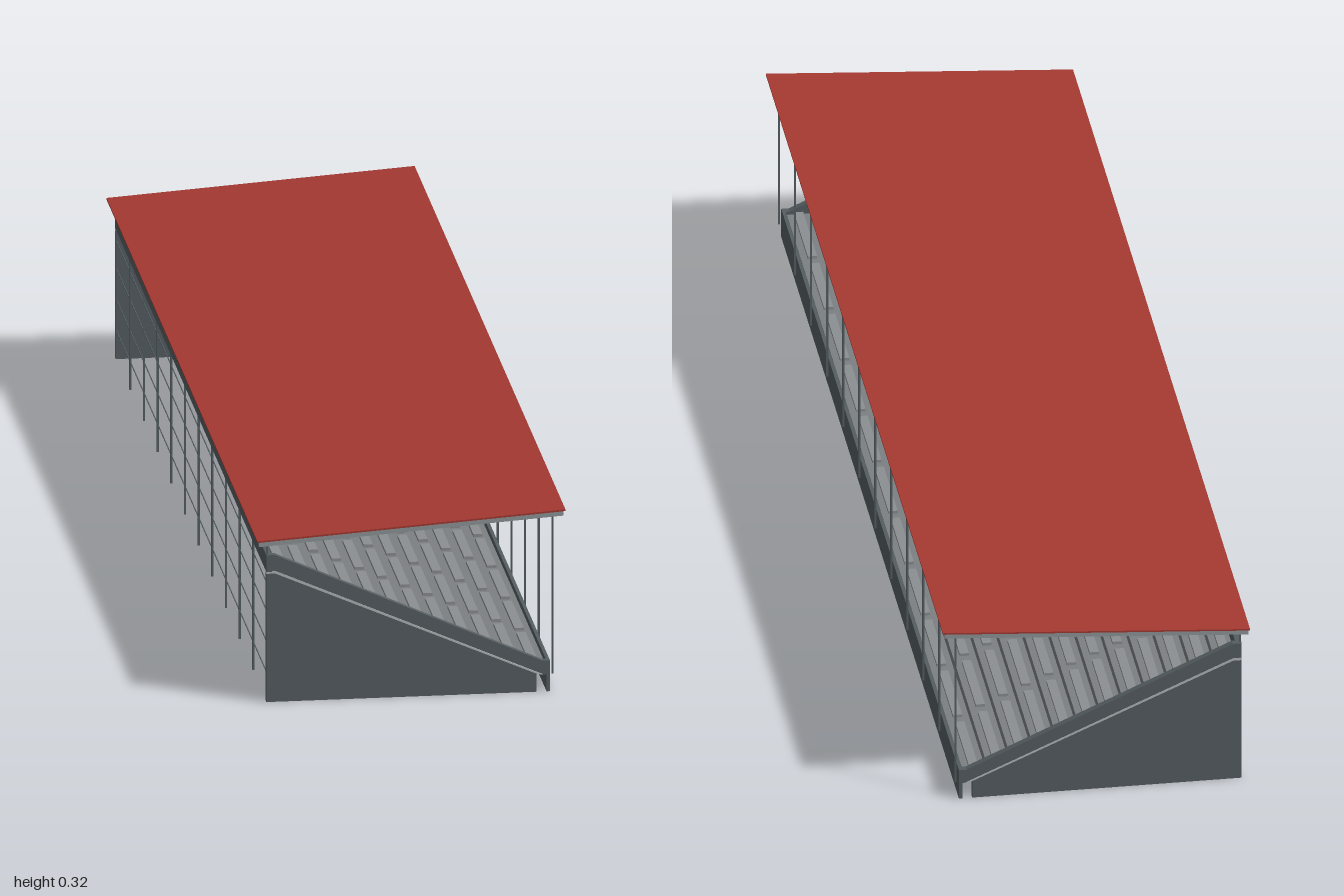
import * as THREE from 'three';

const mat = (name, color, side = THREE.FrontSide) => {
  const m = new THREE.MeshStandardMaterial({ color, side });
  m.name = name;
  return m;
};

export function createModel() {
  const red = mat('roof red', 0xa53932, THREE.DoubleSide);
  const wall = mat('wall grey', 0x565e62);
  const step = mat('step grey', 0x7c8082);
  const seat = mat('bench grey', 0x8c8f91);
  const steel = mat('dark steel', 0x566064);
  const beam = mat('beam grey', 0x90979a);
  const trim = mat('joint light grey', 0xb4b8ba);

  const model = new THREE.Group();
  model.name = 'grandstand';
  // Local x runs along the stand, local z points from back to front
  const stand = new THREE.Group();
  stand.name = 'standBody';
  stand.rotation.y = THREE.MathUtils.degToRad(119.4);
  model.add(stand);

  const add = (name, geo, material) => {
    const m = new THREE.Mesh(geo, material);
    m.name = name;
    stand.add(m);
    return m;
  };
  const box = (name, material, w, h, d, x, y, z) => {
    const m = add(name, new THREE.BoxGeometry(w, h, d), material);
    m.position.set(x, y, z);
  };
  // Side profile of [z, y] points, swept along x and centred on cx
  const sweep = (name, material, points, width, cx = 0) => {
    const shape = new THREE.Shape(points.map(([z, y]) => new THREE.Vector2(z, y)));
    const g = new THREE.ExtrudeGeometry(shape, { depth: width, bevelEnabled: false });
    g.translate(0, 0, -width / 2);
    g.rotateY(-Math.PI / 2);
    add(name, g, material).position.x = cx;
  };

  const half = 1.002, front = 0.23, back = -0.242;
  const slopeY = z => 0.03 + (front - z) / (front - back) * 0.205;

  // Low front wall and raised back parapet
  box('frontWall', wall, 2 * half, 0.055, 0.006, 0, 0.0275, 0.235);
  box('backParapet', wall, 2 * half, 0.03, 0.01, 0, 0.247, -0.245);

  // End walls, a light joint strip and a sloped parapet above it
  for (const s of [-1, 1]) {
    sweep('endWall', wall,
      [[-0.25, 0], [0.215, 0], [0.215, 0.032], [-0.235, 0.229], [-0.25, 0.229]], 0.01, s * (half - 0.005));
    sweep('jointStrip', trim,
      [[-0.25, 0.229], [-0.235, 0.229], [0.215, 0.032], [0.226, 0.03], [-0.235, 0.234], [-0.25, 0.234]],
      0.01, s * (half - 0.005));
    sweep('endParapet', wall,
      [[-0.25, 0.234], [-0.235, 0.234], [0.228, 0.03], [0.238, 0.03], [0.238, 0.055], [0.225, 0.055],
        [-0.235, 0.262], [-0.25, 0.262]], 0.012, s * (half - 0.006));
  }

  // Stepped terrace with a flat sloping underside
  const rows = 12, run = (front - back) / rows;
  const profile = [[front, slopeY(front)]];
  for (let i = 0; i < rows; i++) {
    const z0 = front - i * run, z1 = z0 - run, y = slopeY(z1) + 0.002;
    profile.push([z0, y], [z1, y]);
  }
  profile.push([back, slopeY(back)]);
  sweep('terrace', step, profile, 2 * half - 0.024);

  // Benches in every bay, leaving narrow aisles at the frames
  const bays = 11, span = 2, bay = span / bays;
  for (let b = 0; b < bays; b++) {
    const x = -span / 2 + (b + 0.5) * bay;
    for (let i = 0; i < rows; i++) {
      const z = front - (i + 0.5) * run;
      box('bench', seat, bay - 0.024, 0.005, 0.016, x, slopeY(z - run / 2) + 0.0045, z);
    }
  }

  // Roof sheet, sloping down to the back
  const roofY = z => 0.3015 + z * 0.068;
  sweep('roof', red, [[-0.265, roofY(-0.265)], [0.265, roofY(0.265)],
    [0.265, roofY(0.265) + 0.003], [-0.265, roofY(-0.265) + 0.003]], 1.997);

  // Frames: posts and a rafter at every bay line
  const post = (name, x, z, y0, y1) =>
    box(name, steel, 0.0035, y1 - y0, 0.0035, x, (y0 + y1) / 2, z);
  for (let i = 0; i <= bays; i++) {
    const x = (i / bays - 0.5) * (span - 0.01);
    post('frontPost', x, 0.243, 0.03, roofY(0.243));
    post('backPost', x, -0.248, 0, roofY(-0.248));
    post('middlePost', x, 0, 0, slopeY(0));
    sweep('rafter', beam, [[-0.262, roofY(-0.262) - 0.008], [0.262, roofY(0.262) - 0.008],
      [0.262, roofY(0.262)], [-0.262, roofY(-0.262)]], 0.005, x);
  }

  // Thin rails across the open back
  for (const y of [0.05, 0.105, 0.16, 0.21])
    box('backRail', steel, span - 0.01, 0.0015, 0.0015, 0, y, -0.248);

  return model;
}
